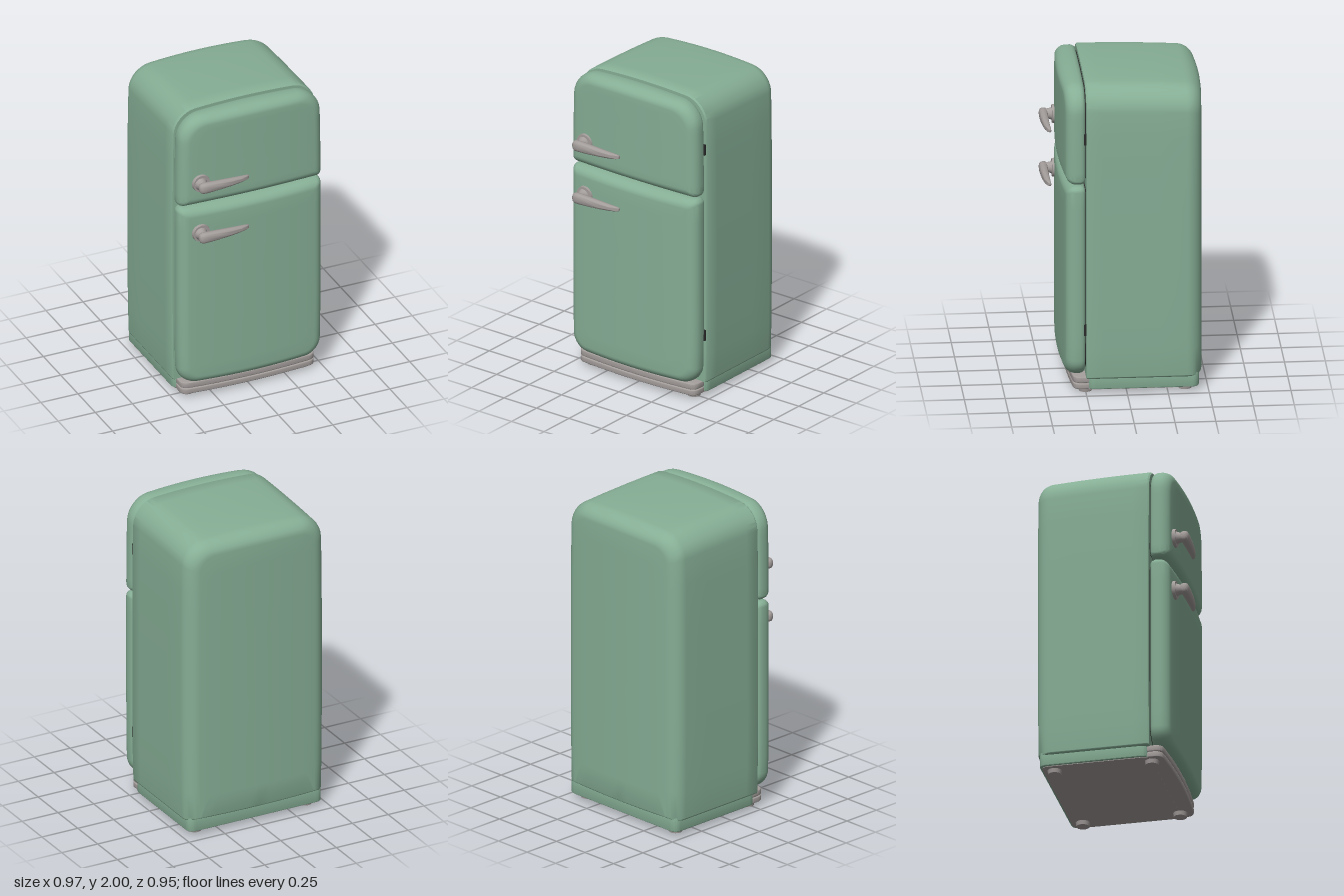
import * as THREE from 'three';
import { toCreasedNormals } from 'three/addons/utils/BufferGeometryUtils.js';

const paint = (name, color) => {
  const m = new THREE.MeshStandardMaterial({ color });
  m.name = name;
  return m;
};
const clamp = THREE.MathUtils.clamp;

// Skin over a list of closed rings with equal point counts
function loft(rings, crease = 0.7) {
  const pos = [];
  const tri = (a, b, c) => {
    const n = b.clone().sub(a).cross(c.clone().sub(a));
    if (n.length() > 1e-9) for (const p of [a, b, c]) pos.push(p.x, p.y, p.z);
  };
  for (let i = 0; i + 1 < rings.length; i++) {
    const A = rings[i], B = rings[i + 1], n = A.length;
    for (let j = 0; j < n; j++) {
      const k = (j + 1) % n;
      tri(A[j], A[k], B[k]);
      tri(A[j], B[k], B[j]);
    }
  }
  const g = new THREE.BufferGeometry();
  g.setAttribute('position', new THREE.Float32BufferAttribute(pos, 3));
  return toCreasedNormals(g, crease);
}

// Rounded panel outline, inset by d, counter-clockwise seen from the front
function outline({ w, y0, y1, rt, rb, kb = 1 }, d) {
  const X = w - d, lo = y0 + d * kb, hi = y1 - d;
  const t = Math.max(rt - d * 0.6, 0.015), b = Math.max(rb - d * 0.6, 0.008);
  const corners = [[X - b, lo + b, b, -1], [X - t, hi - t, t, 0], [t - X, hi - t, t, 1], [b - X, lo + b, b, 2]];
  const arcs = corners.map(([cx, cy, r, q]) => Array.from({ length: 9 }, (_, i) => {
    const a = (q + i / 8) * Math.PI / 2;
    return new THREE.Vector2(cx + r * Math.cos(a), cy + r * Math.sin(a));
  }));
  return arcs.flatMap((arc, i) => {
    const end = arc[8], next = arcs[(i + 1) % 4][0];
    const edge = Array.from({ length: 9 }, (_, k) => end.clone().lerp(next, (k + 1) / 10));
    return [...arc, ...edge];
  });
}

// Gently swollen shape: sides, top, and (for doors) the lower edge
function swell(x, y, z, door) {
  const u = (x / 0.48) ** 2;
  const top = clamp((y - 1.4) / 0.6, 0, 1);
  let py = y - 0.022 * u * top;
  if (door) py += 0.015 * u * clamp((0.4 - y) / 0.3, 0, 1);
  else py -= 0.02 * top * ((0.25 - z) / 0.6) ** 2;
  return new THREE.Vector3(x * (1 - 0.025 * (y - 1) ** 4), py, z);
}

// steps: [z, inset, bulge, scale toward the centre]
function panel(spec, steps, door) {
  const mid = (spec.y0 + spec.y1) / 2;
  return loft(steps.map(([z, d, bulge = 0, s = 1]) => outline(spec, d).map((p) => {
    const x = p.x * s, y = mid + (p.y - mid) * s;
    return swell(x, y, z + bulge * (1 - (x / 0.48) ** 2), door);
  })));
}

// Flat slab with rounded plan corners and a bowed front
function slab(w, zb, zf, bow, r, y0, y1, bevel = 0.006) {
  const s = new THREE.Shape();
  s.moveTo(-w, -zb - r);
  s.quadraticCurveTo(-w, -zb, -w + r, -zb);
  s.lineTo(w - r, -zb);
  s.quadraticCurveTo(w, -zb, w, -zb - r);
  s.lineTo(w, -zf + r);
  s.quadraticCurveTo(w, -zf, w - r, -zf - bow * 0.2);
  s.quadraticCurveTo(0, -zf - bow * 1.8, -w + r, -zf - bow * 0.2);
  s.quadraticCurveTo(-w, -zf, -w, -zf + r);
  s.closePath();
  const g = new THREE.ExtrudeGeometry(s, {
    depth: y1 - y0 - 2 * bevel, bevelEnabled: bevel > 0, bevelSize: bevel,
    bevelThickness: bevel, bevelOffset: -bevel, bevelSegments: 3, curveSegments: 16,
  });
  g.rotateX(-Math.PI / 2).translate(0, y0 + bevel, 0);
  return toCreasedNormals(g, 0.7);
}

export function createModel() {
  const green = paint('sage enamel', 0x86ae95);
  const metal = paint('satin metal', 0xa39d9b);
  const dark = paint('dark rubber', 0x2b2b2b);
  const model = new THREE.Group();
  model.name = 'refrigerator';
  const add = (name, geo, mat, x = 0, y = 0, z = 0, parent = model) => {
    const m = new THREE.Mesh(geo, mat);
    m.name = name;
    m.position.set(x, y, z);
    parent.add(m);
    return m;
  };

  // Cabinet: domed back, rounded rear edges, flat front
  const back = [0, 0.3, 0.6, 0.85].map((s) => [-0.452, 0.085, -0.023, s]);
  const rear = Array.from({ length: 9 }, (_, i) => {
    const a = (i / 8) * Math.PI / 2;
    return [-0.367 - 0.085 * Math.cos(a), 0.085 * (1 - Math.sin(a)), -0.023 * Math.cos(a)];
  });
  const front = [[-0.2, 0], [0, 0], [0.15, 0], [0.24, 0], [0.25, 0.008], [0.25, 0.04], [0.25, 0.04, 0, 0]];
  add('cabinet', panel({ w: 0.487, y0: 0.1, y1: 2, rt: 0.15, rb: 0.012, kb: 0.3 }, [...back, ...rear, ...front], false), green);

  // Doors: pillowed edges and a bowed face
  const face = Array.from({ length: 9 }, (_, i) => {
    const a = (i / 8) * Math.PI / 2;
    return [0.31 + 0.06 * Math.sin(a), 0.06 * (1 - Math.cos(a)), 0.025 * Math.sin(a)];
  });
  const doorSteps = [
    [0.256, 0.025, 0, 0], [0.256, 0.025], [0.26, 0.013], [0.27, 0.005], [0.285, 0], ...face,
    ...[0.85, 0.6, 0.3, 0].map((s) => [0.37, 0.06, 0.025, s]),
  ];
  const doors = [
    ['freezerDoor', { w: 0.482, y0: 1.362, y1: 1.992, rt: 0.15, rb: 0.035 }, 1.53],
    ['fridgeDoor', { w: 0.482, y0: 0.1, y1: 1.35, rt: 0.035, rb: 0.11 }, 1.18],
  ];

  // Handle lever sections along x: [x, z centre, half height, half depth]
  const lever = [
    [-0.392, 0.447, 0, 0], [-0.391, 0.447, 0.018, 0.014], [-0.384, 0.447, 0.028, 0.022], [-0.37, 0.448, 0.034, 0.027],
    [-0.34, 0.449, 0.034, 0.027], [-0.26, 0.449, 0.03, 0.025], [-0.18, 0.447, 0.025, 0.022],
    [-0.11, 0.442, 0.019, 0.018], [-0.07, 0.436, 0.015, 0.013], [-0.053, 0.432, 0.011, 0.009], [-0.048, 0.431, 0, 0],
  ];
  const squircle = (c) => Math.sign(c) * Math.abs(c) ** 0.75;
  const leverGeo = loft(lever.map(([x, z, ry, rz]) => Array.from({ length: 24 }, (_, i) => {
    const a = (i / 24) * Math.PI * 2;
    return new THREE.Vector3(x, ry * squircle(Math.cos(a)), z + rz * squircle(Math.sin(a)));
  })), 1.2);
  const post = [[0.05, 0.37], [0.042, 0.395], [0.036, 0.405], [0.032, 0.42], [0.03, 0.445]].map(([r, z]) => new THREE.Vector2(r, z));
  const postGeo = new THREE.LatheGeometry(post, 24).rotateX(Math.PI / 2);
  const roseGeo = new THREE.CylinderGeometry(0.056, 0.06, 0.03, 32).rotateX(Math.PI / 2);

  for (const [name, spec, hy] of doors) {
    add(name, panel(spec, doorSteps, true), green);
    const handle = new THREE.Group();
    handle.name = name + 'Handle';
    handle.position.y = hy;
    model.add(handle);
    add('handleRose', roseGeo, metal, -0.35, 0, 0.382, handle);
    add('handlePost', postGeo, metal, -0.355, 0, 0, handle);
    add('handleLever', leverGeo, metal, 0, 0, 0, handle);
    // Seal tucked in the gap behind the door
    const seal = { ...spec, w: 0.45, y0: spec.y0 + 0.03, y1: spec.y1 - 0.03 };
    add('doorSeal', panel(seal, [[0.248, 0], [0.258, 0]], true), dark);
  }

  // Small hinges in the seam
  for (const y of [0.42, 1.66]) add('hinge', new THREE.BoxGeometry(0.03, 0.07, 0.02), dark, 0.461, y, 0.254);

  // Base: skirt, underside, front plinth with a groove
  add('skirt', slab(0.467, -0.442, 0.24, 0, 0.05, 0.03, 0.125), green);
  add('underside', slab(0.455, -0.43, 0.25, 0, 0.05, 0.026, 0.032, 0), metal);
  add('plinthLower', slab(0.45, 0.2, 0.325, 0.025, 0.05, 0.027, 0.063), metal);
  add('plinthGroove', slab(0.443, 0.2, 0.317, 0.025, 0.05, 0.055, 0.075, 0), metal);
  add('plinthUpper', slab(0.45, 0.2, 0.325, 0.025, 0.05, 0.067, 0.106), metal);

  // Feet
  const footGeo = new THREE.CylinderGeometry(0.045, 0.04, 0.03, 24);
  for (const x of [-0.385, 0.385]) for (const z of [-0.36, 0.25]) add('foot', footGeo, metal, x, 0.015, z);

  return model;
}
